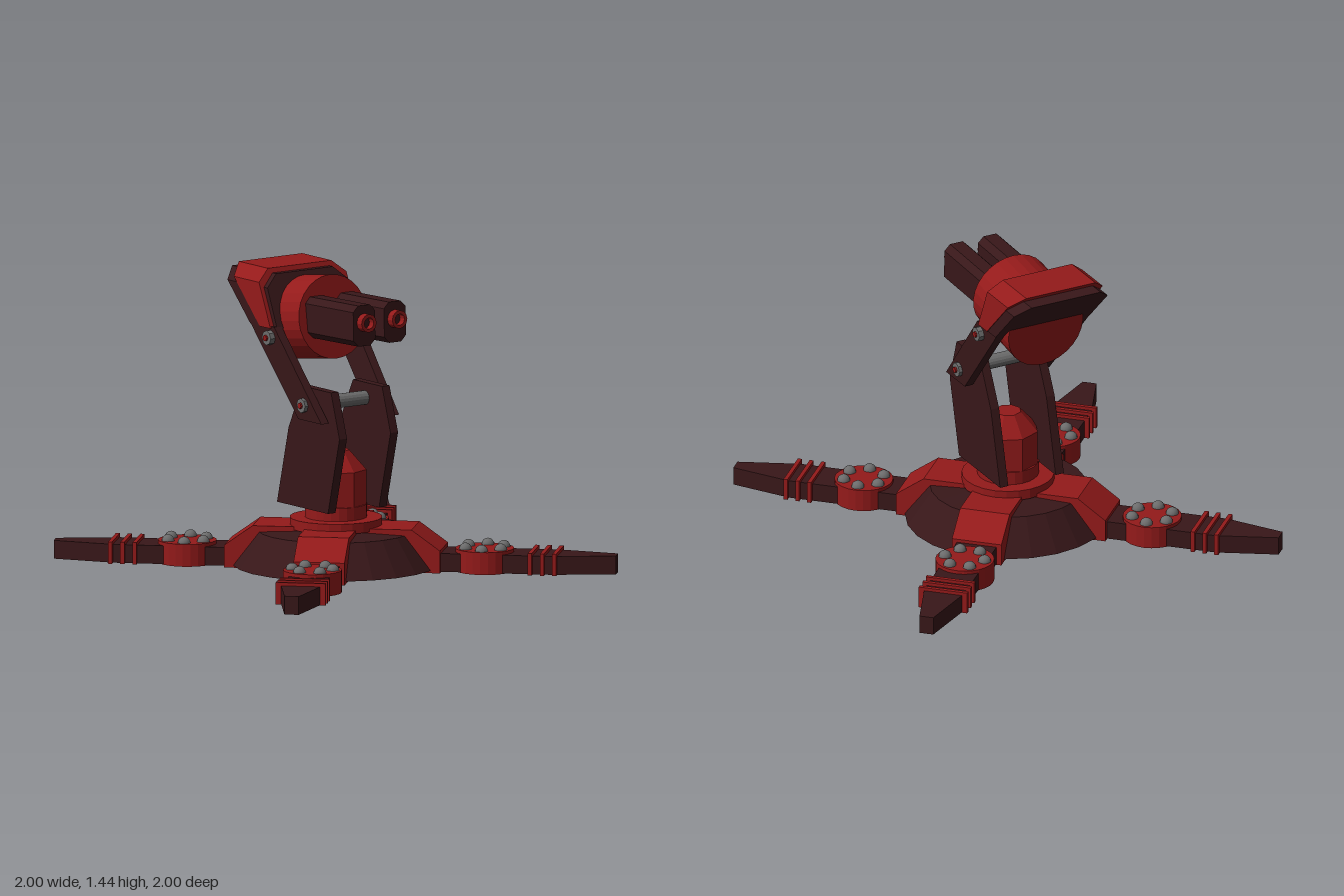
import * as THREE from 'three';

const red = new THREE.MeshStandardMaterial({ color: 0x941a1a, flatShading: true });
const dark = new THREE.MeshStandardMaterial({ color: 0x381719, flatShading: true });
const grey = new THREE.MeshStandardMaterial({ color: 0x6c6c6c, flatShading: true });
const smoothGrey = new THREE.MeshStandardMaterial({ color: 0x6c6c6c });

function add(parent, name, geometry, material, x = 0, y = 0, z = 0) {
  const mesh = new THREE.Mesh(geometry, material);
  mesh.name = name;
  mesh.position.set(x, y, z);
  parent.add(mesh);
  return mesh;
}

const shapeOf = pts => new THREE.Shape(pts.map(p => new THREE.Vector2(...p)));

// Side profile of [z, y] points, extruded across x and centred
function sideProfile(pts, width) {
  const g = new THREE.ExtrudeGeometry(shapeOf(pts), { depth: width, bevelEnabled: false });
  return g.translate(0, 0, -width / 2).rotateY(-Math.PI / 2);
}

// Front outline of [x, y] points whose front and back planes both lean with height:
// low and high are [y, zFront, zBack]
function leaningSlab(pts, low, high) {
  const g = new THREE.ExtrudeGeometry(shapeOf(pts), { depth: 1, bevelEnabled: false });
  const p = g.attributes.position;
  for (let i = 0; i < p.count; i++) {
    const t = (p.getY(i) - low[0]) / (high[0] - low[0]);
    const front = THREE.MathUtils.lerp(low[1], high[1], t);
    const back = THREE.MathUtils.lerp(low[2], high[2], t);
    p.setZ(i, THREE.MathUtils.lerp(back, front, p.getZ(i)));
  }
  g.computeVertexNormals();
  return g;
}

// Outline with chamfered top corners
const hoodOutline = (w, wTop, y0, y1, y2) =>
  [[-w, y0], [w, y0], [w, y1], [wTop, y2], [-wTop, y2], [-w, y1]];

const rodX = (r, length, sides) => new THREE.CylinderGeometry(r, r, length, sides).rotateZ(Math.PI / 2);

// One leg, pointing along local +z
function createLeg() {
  const leg = new THREE.Group();
  leg.name = 'leg';
  add(leg, 'legHousing', sideProfile([[0, 0], [0.53, 0], [0.53, 0.11], [0.39, 0.21], [0, 0.21]], 0.25), red);
  const foot = shapeOf([[-0.1, -0.5], [-0.1, -1.08], [-0.035, -1.38], [0.035, -1.38], [0.1, -1.08], [0.1, -0.5]]);
  const footGeo = new THREE.ExtrudeGeometry(foot, { depth: 0.09, bevelEnabled: false }).rotateX(-Math.PI / 2);
  add(leg, 'legBeam', footGeo, dark, 0, 0.004, 0);
  add(leg, 'jointDisc', new THREE.CylinderGeometry(0.143, 0.143, 0.11, 24), red, 0, 0.056, 0.73);
  for (let i = 0; i < 6; i++) {
    const a = Math.PI / 6 + i * Math.PI / 3;
    add(leg, 'jointBolt', new THREE.SphereGeometry(0.032, 12, 8), smoothGrey,
      0.1 * Math.sin(a), 0.11, 0.73 + 0.1 * Math.cos(a));
  }
  for (const z of [0.97, 1.03, 1.09]) {
    add(leg, 'legBand', new THREE.BoxGeometry(0.245, 0.108, 0.02), red, 0, 0.056, z);
  }
  return leg;
}

// Twin barrel with a ringed muzzle, pointing along local +z
function createBarrel() {
  const barrel = new THREE.Group();
  barrel.name = 'barrel';
  const w = 0.065, h = 0.1, c = 0.03;
  const outline = shapeOf([[-w + c, -h], [w - c, -h], [w, -h + c], [w, h - c],
    [w - c, h], [-w + c, h], [-w, h - c], [-w, -h + c]]);
  add(barrel, 'barrelCasing', new THREE.ExtrudeGeometry(outline, { depth: 0.42, bevelEnabled: false }), dark, 0, 0, -0.06);
  const muzzle = new THREE.LatheGeometry([[0.045, 0], [0.045, 0.045], [0.028, 0.045], [0.028, 0]]
    .map(p => new THREE.Vector2(...p)), 12).rotateX(Math.PI / 2);
  const ring = add(barrel, 'muzzle', muzzle, red, 0, 0.015, 0.355);
  add(ring, 'bore', new THREE.CircleGeometry(0.03, 12), dark, 0, 0, 0.01);
  return barrel;
}

export function createModel() {
  const model = new THREE.Group();
  model.name = 'turret';

  // Base and legs
  const dome = [[0, 0.012], [0.5, 0.012], [0.38, 0.18], [0, 0.2]].map(p => new THREE.Vector2(...p));
  add(model, 'baseDome', new THREE.LatheGeometry(dome, 24), dark);
  for (let i = 0; i < 4; i++) {
    const leg = createLeg();
    leg.rotation.y = Math.PI / 4 + i * Math.PI / 2;
    model.add(leg);
  }
  add(model, 'turntable', new THREE.CylinderGeometry(0.225, 0.225, 0.05, 24), red, 0, 0.22, 0);
  add(model, 'collar', new THREE.CylinderGeometry(0.15, 0.15, 0.08, 24), red, 0, 0.27, 0);

  // Core between the uprights
  const core = [[0, 0.26], [0.15, 0.26], [0.15, 0.48], [0.065, 0.575], [0, 0.575]].map(p => new THREE.Vector2(...p));
  add(model, 'core', new THREE.LatheGeometry(core, 8), red);

  // Uprights
  const upright = [[0.175, 0.3], [0.27, 0.68], [0.2, 0.9], [-0.04, 0.9], [-0.15, 0.68], [-0.245, 0.3]];
  for (const s of [-1, 1]) add(model, 'upright', sideProfile(upright, 0.045), dark, s * 0.153, 0, 0);

  // Lower axle
  add(model, 'axle', rodX(0.035, 0.46, 16), grey, 0, 0.825, 0.06);

  // Swing arms, with nuts and hubs at both pivots
  for (const s of [-1, 1]) {
    const arm = [[0.188, 0.75], [0.233, 0.75], [0.255, 1.18], [0.21, 1.18]].map(([x, y]) => [s * x, y]);
    add(model, 'swingArm', leaningSlab(arm, [0.75, 0.2, 0.01], [1.18, -0.16, -0.36]), dark);
    for (const [x, y, z] of [[0.24, 0.825, 0.06], [0.265, 1.125, -0.19]]) {
      add(model, 'pivotNut', rodX(0.036, 0.03, 8), grey, s * x, y, z);
      add(model, 'pivotHub', rodX(0.015, 0.05, 8), red, s * x, y, z);
    }
  }

  // Hood in three leaning layers
  add(model, 'hoodFront', leaningSlab(hoodOutline(0.24, 0.17, 1.17, 1.36, 1.42),
    [1.17, -0.155, -0.21], [1.42, -0.26, -0.35]), dark);
  add(model, 'hoodShell', leaningSlab(hoodOutline(0.262, 0.19, 1.17, 1.385, 1.443),
    [1.17, -0.18, -0.27], [1.443, -0.3, -0.54]), red);
  add(model, 'hoodBack', leaningSlab(hoodOutline(0.258, 0.19, 1.17, 1.36, 1.415),
    [1.17, -0.25, -0.35], [1.415, -0.42, -0.595]), dark);

  // Drum head, tipped slightly upward
  const drum = new THREE.CylinderGeometry(0.205, 0.205, 0.365, 28).rotateX(Math.PI / 2);
  add(model, 'drumHead', drum, red, 0, 1.2, -0.205).rotation.x = -0.14;

  // Barrels
  for (const s of [-1, 1]) {
    const barrel = createBarrel();
    barrel.position.set(s * 0.092, 1.235, 0);
    barrel.rotation.x = -0.03;
    model.add(barrel);
  }
  return model;
}
